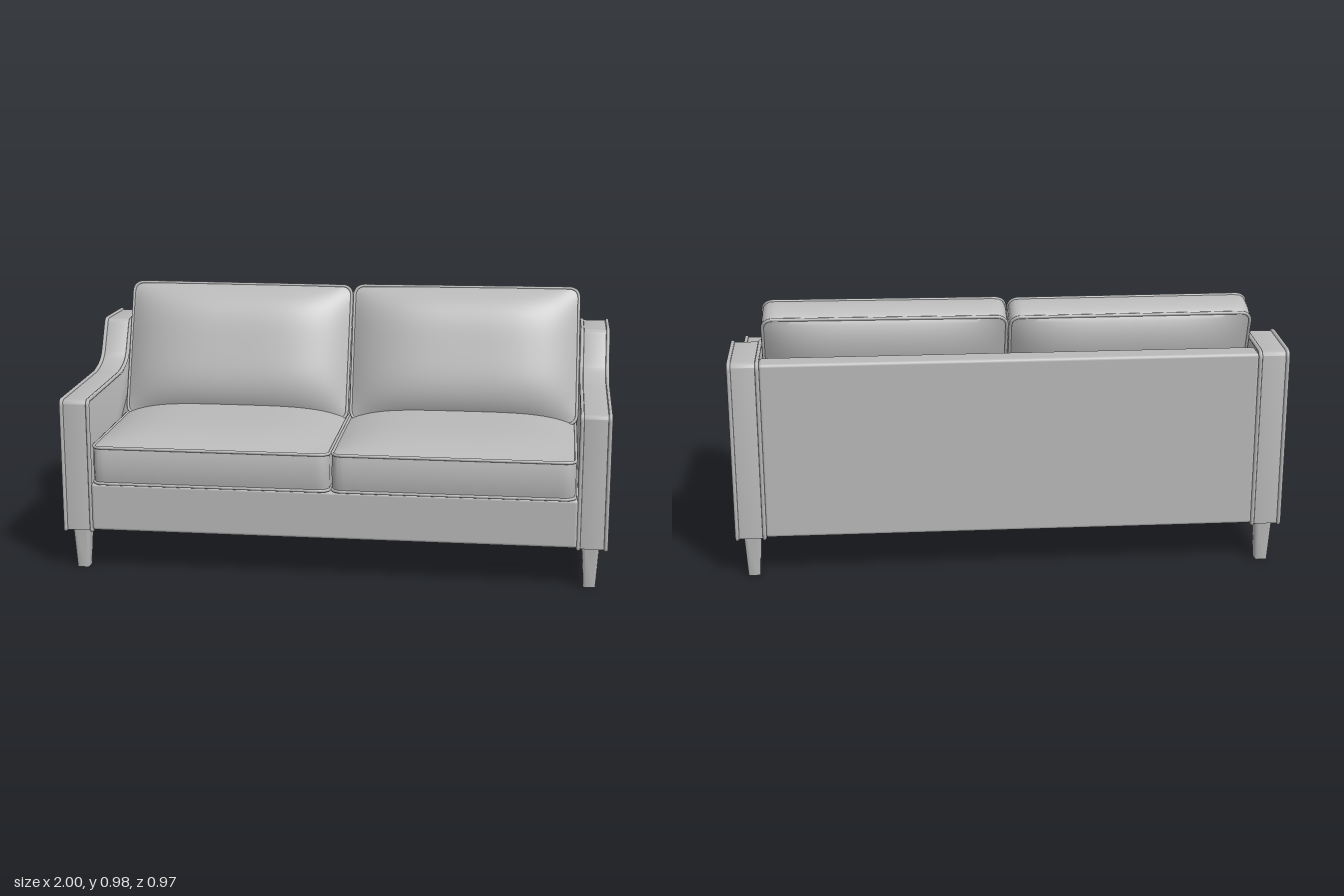
import * as THREE from 'three';
import { toCreasedNormals } from 'three/addons/utils/BufferGeometryUtils.js';
import { RoundedBoxGeometry } from 'three/addons/geometries/RoundedBoxGeometry.js';

const fabric = new THREE.MeshStandardMaterial({ color: 0xb9b9b9 });
fabric.name = 'greyFabric';

function mesh(name, geometry, parent) {
  const m = new THREE.Mesh(geometry, fabric);
  m.name = name;
  parent.add(m);
  return m;
}

// Rectangle with round corners, centred on the origin
function roundedRect(w, h, r) {
  const x = w / 2 - r, y = h / 2 - r, s = new THREE.Shape();
  s.absarc(x, y, r, 0, Math.PI / 2);
  s.absarc(-x, y, r, Math.PI / 2, Math.PI);
  s.absarc(-x, -y, r, Math.PI, Math.PI * 1.5);
  s.absarc(x, -y, r, Math.PI * 1.5, Math.PI * 2);
  s.closePath();
  return s;
}

// Piping cord that follows a closed outline at depth z
function piping(shape, z, radius, steps = 160) {
  const pts = shape.getSpacedPoints(steps).slice(0, -1).map(p => new THREE.Vector3(p.x, p.y, z));
  return new THREE.TubeGeometry(new THREE.CatmullRomCurve3(pts, true), steps * 2, radius, 8, true);
}

// Box cushion: domed faces, bulging sides, round corners and two cords
function cushion(name, w, h, t, frontCrown, backCrown, sideBulge) {
  const group = new THREE.Group();
  group.name = name;
  const r = 0.035, a = w / 2, b = h / 2;
  const geo = new THREE.BoxGeometry(w, h, t, 40, 30, 8);
  const pos = geo.attributes.position;
  for (let i = 0; i < pos.count; i++) {
    let x = pos.getX(i), y = pos.getY(i), z = pos.getZ(i);
    const u = x / a, v = y / b, k = z / (t / 2);
    const dome = (1 - u ** 4) * (1 - v ** 4);
    z += dome * (k > 0 ? frontCrown : -backCrown) * Math.abs(k);
    const cx = THREE.MathUtils.clamp(x, r - a, a - r), cy = THREE.MathUtils.clamp(y, r - b, b - r);
    const dx = x - cx, dy = y - cy, d = Math.hypot(dx, dy);
    if (d > 0) {
      const f = Math.max(Math.abs(dx), Math.abs(dy)) / d;
      const swell = sideBulge * (1 - k * k) * Math.min(1, d * f / r);
      x = cx + dx * f + dx / d * swell * 0.3;
      y = cy + dy * f + dy / d * swell;
    }
    pos.setXYZ(i, x, y, z);
  }
  mesh(name + 'Pad', toCreasedNormals(geo, 0.7), group);
  const outline = roundedRect(w, h, r);
  for (const z of [t / 2, -t / 2]) mesh(name + 'Piping', piping(outline, z, 0.006), group);
  return group;
}

// Side profile of an arm: x is depth (front positive), y is height
function armProfile() {
  const s = new THREE.Shape();
  s.moveTo(0.457, 0.152);
  s.lineTo(0.457, 0.627);
  s.quadraticCurveTo(0.457, 0.644, 0.44, 0.644);
  s.lineTo(-0.02, 0.647);
  s.bezierCurveTo(-0.08, 0.655, -0.13, 0.67, -0.15, 0.705);
  s.lineTo(-0.205, 0.805);
  s.quadraticCurveTo(-0.212, 0.822, -0.232, 0.822);
  s.lineTo(-0.455, 0.816);
  s.quadraticCurveTo(-0.477, 0.815, -0.478, 0.795);
  s.lineTo(-0.472, 0.152);
  s.closePath();
  return s;
}

function arm(name) {
  const group = new THREE.Group();
  group.name = name;
  const profile = armProfile(), depth = 0.098, bevel = 0.006;
  const body = new THREE.ExtrudeGeometry(profile, {
    depth, bevelEnabled: true, bevelSize: bevel, bevelOffset: -bevel,
    bevelThickness: bevel, bevelSegments: 2, curveSegments: 16
  });
  body.translate(0, 0, -depth / 2).rotateY(-Math.PI / 2);
  mesh(name + 'Panel', toCreasedNormals(body, 0.6), group);
  for (const z of [0.0495, -0.0495]) {
    mesh(name + 'Piping', piping(profile, z, 0.0075, 200).rotateY(-Math.PI / 2), group);
  }
  return group;
}

// Tapered leg with softened corners
function legGeometry() {
  const height = 0.16;
  const geo = new THREE.ExtrudeGeometry(roundedRect(0.064, 0.07, 0.012), {
    depth: height, bevelEnabled: false, curveSegments: 4
  });
  geo.rotateX(-Math.PI / 2);
  const pos = geo.attributes.position;
  for (let i = 0; i < pos.count; i++) {
    const k = 0.7 + 0.3 * pos.getY(i) / height;
    pos.setXYZ(i, pos.getX(i) * k, pos.getY(i), pos.getZ(i) * k);
  }
  return toCreasedNormals(geo, 0.6);
}

export function createModel() {
  const sofa = new THREE.Group();
  sofa.name = 'sofa';

  // Base and back frame
  mesh('base', new RoundedBoxGeometry(1.78, 0.18, 0.935, 3, 0.012), sofa).position.set(0, 0.245, -0.001);
  mesh('backFrame', new RoundedBoxGeometry(1.78, 0.655, 0.09, 3, 0.012), sofa).position.set(0, 0.4825, -0.431);

  // Parts mirrored left and right
  const leg = legGeometry();
  for (const side of [1, -1]) {
    const word = side > 0 ? 'left' : 'right';

    const armGroup = arm(word + 'Arm');
    armGroup.position.x = side * 0.943;
    sofa.add(armGroup);

    const seat = cushion(word + 'SeatCushion', 0.872, 0.84, 0.135, 0.052, 0, 0.008);
    seat.rotation.x = -Math.PI / 2;
    seat.position.set(side * 0.441, 0.408, 0.06);
    sofa.add(seat);

    const back = cushion(word + 'BackCushion', 0.872, 0.53, 0.115, 0.095, 0.065, 0.012);
    back.rotation.set(-0.352, 0, side > 0 ? 0.008 : 0);
    back.position.set(side * 0.443, side > 0 ? 0.706 : 0.7, -0.208);
    sofa.add(back);

    for (const [end, z] of [['Front', 0.41], ['Back', -0.43]]) {
      mesh(word + end + 'Leg', leg, sofa).position.set(side * 0.938, 0, z);
    }
  }
  return sofa;
}
